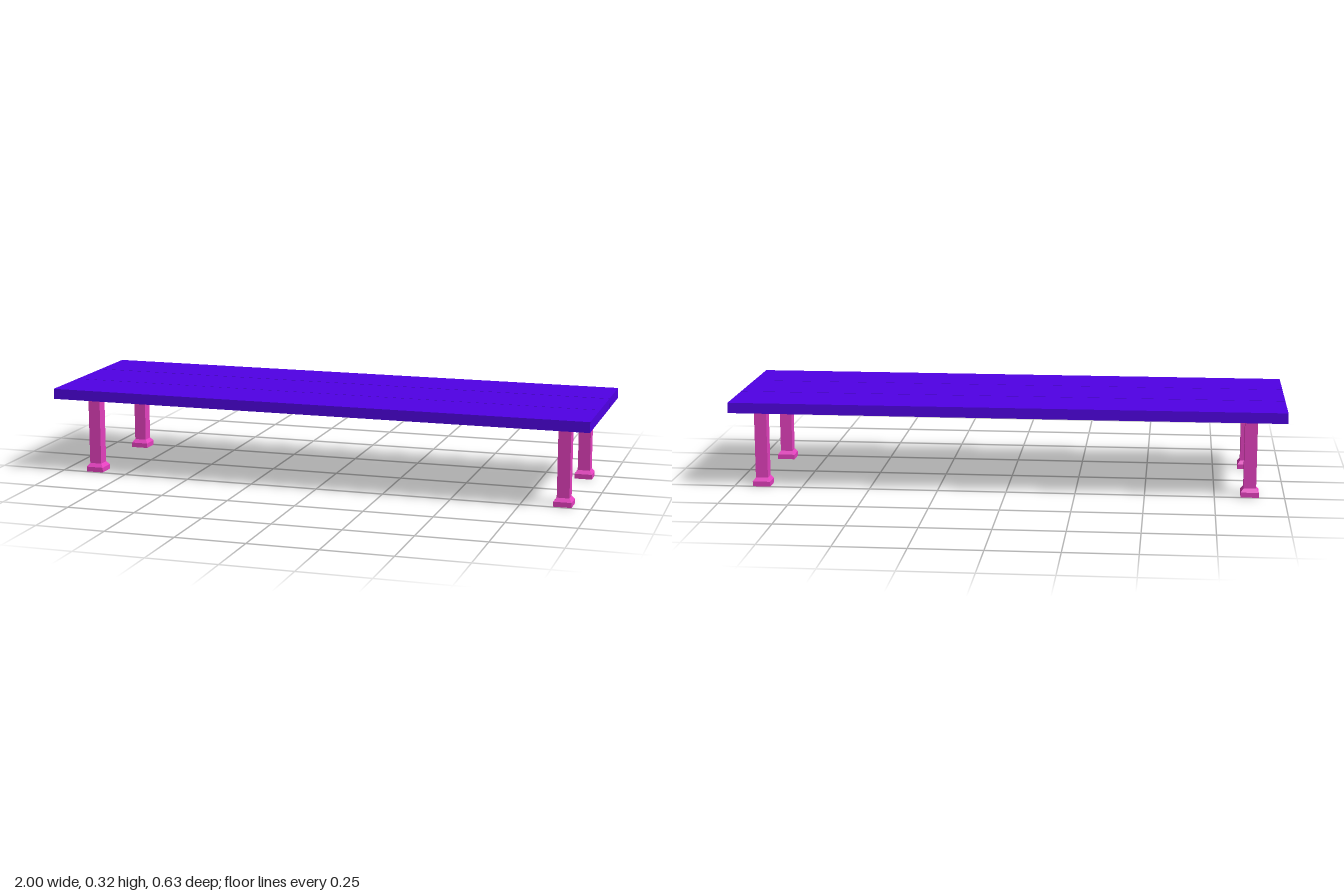
import * as THREE from 'three';

const blue = new THREE.MeshStandardMaterial({ name: 'blue planks', color: 0x5000e6 });
const pink = new THREE.MeshStandardMaterial({ name: 'pink legs', color: 0xe842c2 });

// Square post or frustum standing on y, given its bottom and top widths
function squarePost(name, bottom, top, y, height, openEnded) {
  const geometry = new THREE.CylinderGeometry(top * Math.SQRT1_2, bottom * Math.SQRT1_2, height, 4, 1, openEnded)
    .rotateY(Math.PI / 4)
    .toNonIndexed();
  geometry.computeVertexNormals();
  const mesh = new THREE.Mesh(geometry, pink);
  mesh.name = name;
  mesh.position.y = y + height / 2;
  return mesh;
}

// Leg with a block foot, a sloped collar and a straight post
function createLeg(name, x, z) {
  const leg = new THREE.Group();
  leg.name = name;
  leg.position.set(x, 0, z);
  leg.add(
    squarePost('foot', 0.065, 0.065, 0, 0.018, false),
    squarePost('footCollar', 0.065, 0.045, 0.018, 0.013, true),
    squarePost('legPost', 0.045, 0.045, 0.031, 0.256, false)
  );
  return leg;
}

export function createModel() {
  const table = new THREE.Group();
  table.name = 'lowTable';

  // Three long planks with narrow gaps
  const planks = [['frontPlank', 0.212], ['middlePlank', 0.001], ['backPlank', -0.211]];
  for (const [name, z] of planks) {
    const plank = new THREE.Mesh(new THREE.BoxGeometry(2, 0.038, 0.208), blue);
    plank.name = name;
    plank.position.set(0, 0.306, z);
    table.add(plank);
  }

  // Four legs near the corners
  for (const [side, x] of [['Left', 0.9], ['Right', -0.876]]) {
    table.add(createLeg('front' + side + 'Leg', x, 0.2125));
    table.add(createLeg('back' + side + 'Leg', x, -0.216));
  }
  return table;
}
